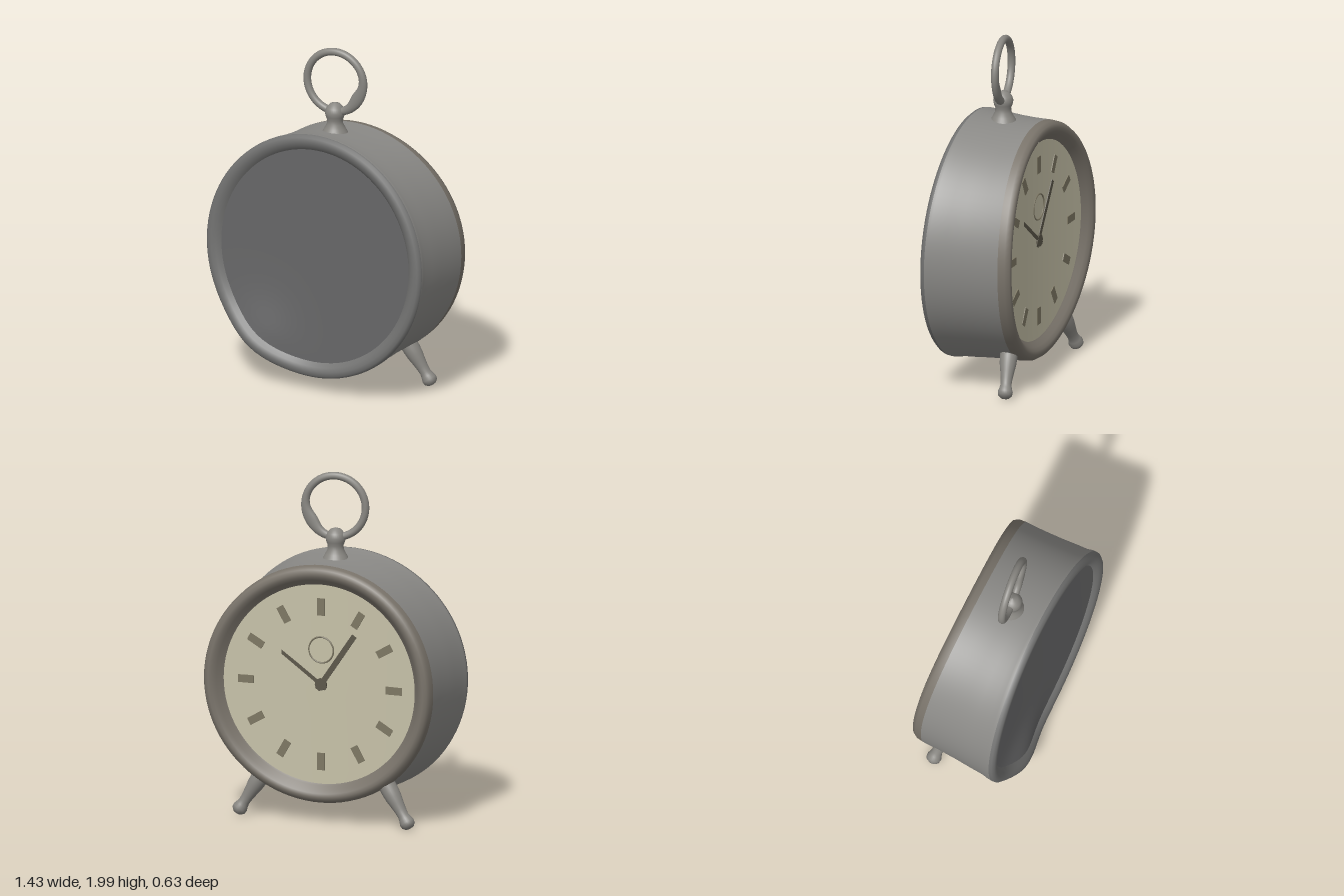
import * as THREE from 'three';
import { mergeVertices } from 'three/addons/utils/BufferGeometryUtils.js';

const CENTER_Y = 0.81;
const clamp = THREE.MathUtils.clamp;
const paint = (color) => new THREE.MeshStandardMaterial({ color });
const caseGrey = paint(0x8a8986);
const rimGrey = paint(0x737372);
const coverGrey = paint(0x666667);
const bezelBrown = paint(0x79736a);
const fittingGrey = paint(0x888681);
const cream = paint(0xc6c1a8);
const markBrown = paint(0x7d7763);
const handBrown = paint(0x5c574a);

// Gentle unevenness of the old case: saddle-shaped dial side, skewed and dented back
function warpZ(x, y, z) {
  const u = x / 0.7, v = y / 0.7;
  const dialSide = clamp((0.1 - z) / 0.35, 0, 1);
  const backSide = clamp((z + 0.05) / 0.27, 0, 1);
  const bulge = 0.045 * Math.exp(-((x + 0.36) ** 2 + (y + 0.55) ** 2) / 0.045);
  return z + dialSide * (-0.05 * u * u - 0.02 * u)
    + backSide * (0.01 * u * u - 0.02 * u - 0.02 * v + bulge);
}

function profile(points) {
  return points.map(([r, h]) => new THREE.Vector2(r, h));
}

// Rebuild normals with the seam welded
function smooth(geometry) {
  geometry.deleteAttribute('uv');
  geometry.deleteAttribute('normal');
  const welded = mergeVertices(geometry, 1e-4);
  welded.computeVertexNormals();
  return welded;
}

function add(parent, name, geometry, material) {
  const mesh = new THREE.Mesh(geometry, material);
  mesh.name = name;
  parent.add(mesh);
  return mesh;
}

// Lathe about the z axis, then warped
function roundPart(points) {
  const g = new THREE.LatheGeometry(profile(points), 96).rotateX(Math.PI / 2);
  const p = g.attributes.position;
  for (let i = 0; i < p.count; i++) p.setZ(i, warpZ(p.getX(i), p.getY(i), p.getZ(i)));
  return smooth(g);
}

function disc(radius, z, steps) {
  return Array.from({ length: steps + 1 }, (_, i) => [radius * i / steps, z]);
}

// Flat bar lying on the dial; the angle runs counterclockwise seen from +z
function dialBar(parent, name, angle, from, to, width, material) {
  const r = (from + to) / 2;
  const x = -Math.sin(angle) * r, y = Math.cos(angle) * r;
  const bar = add(parent, name, new THREE.BoxGeometry(width, to - from, 0.006), material);
  bar.position.set(x, y, warpZ(x, y, -0.209));
  bar.rotation.z = angle;
}

export function createModel() {
  const model = new THREE.Group();
  model.name = 'alarmClock';

  const body = new THREE.Group();
  body.name = 'clockBody';
  body.position.y = CENTER_Y;
  model.add(body);

  // Rounded bezel, side wall and narrow back rim
  add(body, 'dialBezel', roundPart([
    [0.575, -0.2], [0.59, -0.212], [0.61, -0.235], [0.63, -0.25], [0.65, -0.255],
    [0.672, -0.248], [0.686, -0.225], [0.69, -0.19],
  ]), bezelBrown);
  add(body, 'caseWall', roundPart([
    [0.69, -0.19], [0.69, -0.1], [0.695, 0], [0.702, 0.08], [0.706, 0.15],
    [0.714, 0.185], [0.715, 0.205],
  ]), caseGrey);
  add(body, 'backRim', roundPart([
    [0.715, 0.205], [0.713, 0.22], [0.7, 0.234], [0.675, 0.237], [0.65, 0.228],
    [0.63, 0.212], [0.61, 0.19],
  ]), rimGrey);

  // Dial and back cover
  add(body, 'dial', roundPart(disc(0.58, -0.207, 10)), cream);
  add(body, 'backCover', roundPart(disc(0.63, 0.208, 14).reverse()), coverGrey);

  // Hour marks, small alarm dial and hands
  for (let i = 0; i < 12; i++) {
    dialBar(body, 'hourMark', i * Math.PI / 6, 0.4, 0.5, 0.045, markBrown);
  }
  const alarm = add(body, 'alarmDial', new THREE.TorusGeometry(0.075, 0.005, 6, 32), markBrown);
  alarm.position.set(0, 0.2, -0.208);
  dialBar(body, 'hourHand', 0.6, -0.04, 0.36, 0.032, handBrown);
  dialBar(body, 'minuteHand', -0.95, -0.04, 0.42, 0.02, handBrown);
  const hub = add(body, 'handHub', new THREE.CylinderGeometry(0.035, 0.035, 0.016, 24), handBrown);
  hub.rotation.x = Math.PI / 2;
  hub.position.z = -0.211;

  // Stem on top of the case
  const stem = add(model, 'ringStem', new THREE.LatheGeometry(profile([
    [0.085, 1.48], [0.06, 1.525], [0.047, 1.55], [0.045, 1.575], [0.053, 1.595],
    [0.058, 1.62], [0.05, 1.645], [0.03, 1.668], [0, 1.678],
  ]), 32), fittingGrey);
  stem.position.z = 0.01;

  // Carrying ring, turned slightly and thicker on its lower +x side
  const ring = new THREE.TorusGeometry(0.178, 0.022, 14, 72);
  const p = ring.attributes.position;
  for (let i = 0; i < p.count; i++) {
    const x = p.getX(i), y = p.getY(i), r = Math.hypot(x, y);
    const swell = Math.exp(-((Math.atan2(y, x) + 0.55) ** 2) / 0.25);
    const inner = clamp((0.2 - r) / 0.044, 0, 1);
    const k = 1 - 0.2 * swell * inner;
    p.setXY(i, x * k, y * k);
  }
  const ringMesh = add(model, 'carryingRing', smooth(ring), fittingGrey);
  ringMesh.position.set(0.003, 1.8, 0.01);
  ringMesh.rotation.y = 0.13;

  // Pair of splayed legs with ball feet
  const legProfile = profile([
    [0, 0], [0.024, 0.004], [0.04, 0.02], [0.043, 0.04], [0.036, 0.062],
    [0.031, 0.085], [0.034, 0.12], [0.04, 0.16], [0.047, 0.2], [0.05, 0.24], [0.05, 0.29],
  ]);
  for (const [name, footX, lean] of [['leftLeg', 0.515, -0.13], ['rightLeg', -0.55, 0.14]]) {
    const leg = add(model, name, new THREE.LatheGeometry(legProfile, 28), fittingGrey);
    leg.position.set(footX, 0.018, -0.217);
    const direction = new THREE.Vector3(lean, 0.21, 0.03).normalize();
    leg.quaternion.setFromUnitVectors(new THREE.Vector3(0, 1, 0), direction);
  }

  return model;
}
